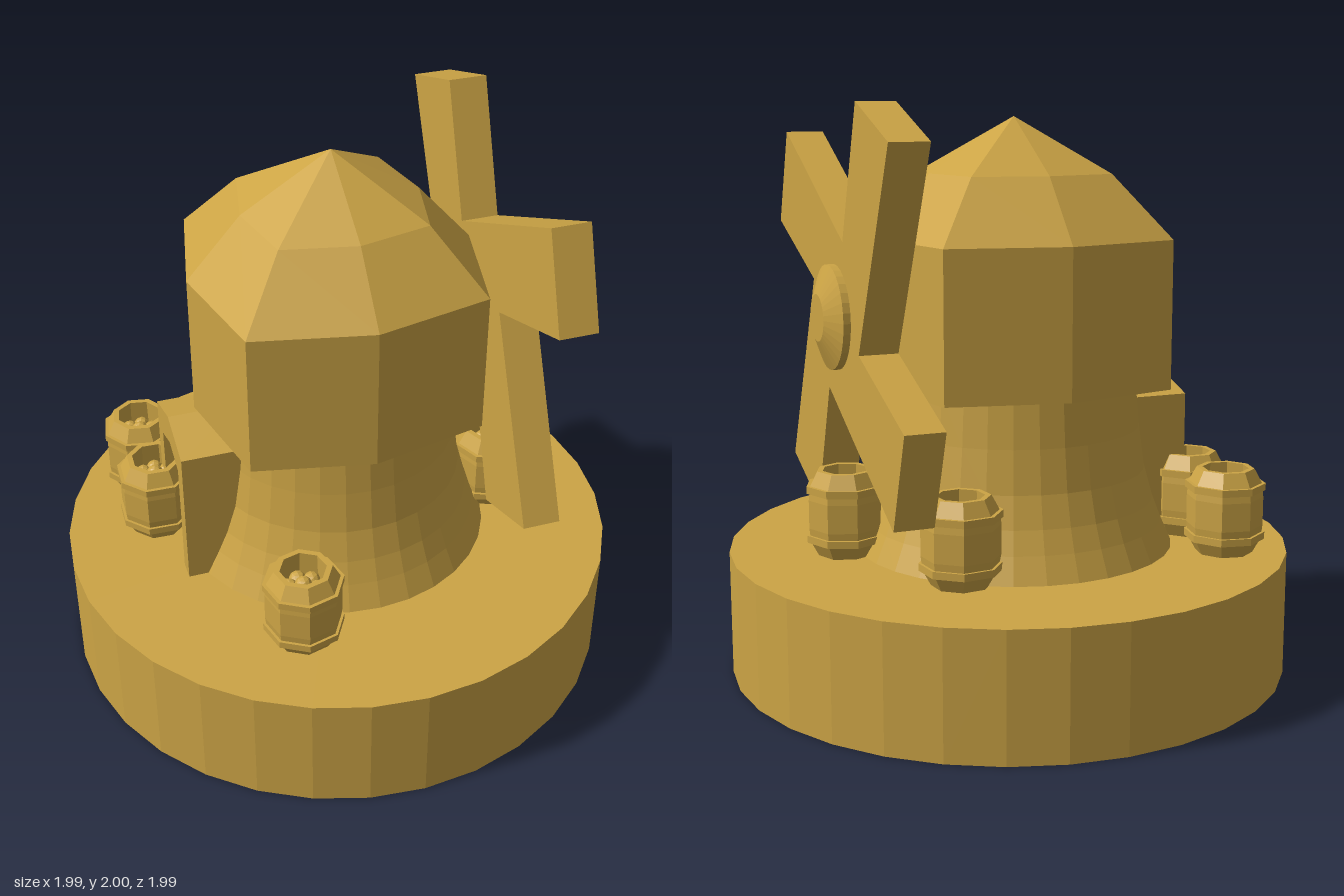
import * as THREE from 'three';

const ochre = new THREE.MeshStandardMaterial({ color: 0xcca445, flatShading: true });
ochre.name = 'ochre';

function add(parent, name, geometry, x = 0, y = 0, z = 0) {
  const mesh = new THREE.Mesh(geometry, ochre);
  mesh.name = name;
  mesh.position.set(x, y, z);
  parent.add(mesh);
  return mesh;
}

// Lathe from [radius, height] pairs listed bottom to top along the outside
function lathe(points, sides, start = 0) {
  return new THREE.LatheGeometry(points.map(([r, y]) => new THREE.Vector2(r, y)), sides, start);
}

// Flat outline in (-z, y), extruded along +x
function extrudeAlongX(shape, depth) {
  return new THREE.ExtrudeGeometry(shape, { depth, bevelEnabled: false }).rotateY(Math.PI / 2);
}

function outline(points) {
  return new THREE.Shape(points.map(([a, b]) => new THREE.Vector2(a, b)));
}

// Eight-sided cap: the corners reach further out than the side middles
function capGeometry() {
  const geometry = lathe([[0, 1.03], [0.5, 1.03], [0.5, 1.54], [0.31, 1.755], [0, 1.945]], 8);
  const p = geometry.attributes.position;
  for (let i = 0; i < p.count; i++) {
    const x = p.getX(i), z = p.getZ(i);
    if (Math.min(Math.abs(x), Math.abs(z)) > 0.01) p.setXYZ(i, x * 1.16, p.getY(i), z * 1.16);
  }
  geometry.computeVertexNormals();
  return geometry;
}

// Open barrel with hoops and a lumpy filling
function makeBarrel(x, z, turn) {
  const barrel = new THREE.Group();
  barrel.name = 'barrel';
  add(barrel, 'staves', lathe([
    [0, 0], [0.1, 0], [0.127, 0.05], [0.133, 0.1], [0.133, 0.2], [0.127, 0.25],
    [0.1, 0.3], [0.08, 0.3], [0.085, 0.2], [0, 0.2],
  ], 8));
  for (const y of [0.05, 0.225]) {
    add(barrel, 'hoop', lathe([[0.12, 0], [0.14, 0], [0.14, 0.025], [0.12, 0.025]], 8), 0, y, 0);
  }
  const lump = new THREE.IcosahedronGeometry(0.03, 1);
  add(barrel, 'filling', lump, 0, 0.23, 0);
  for (let i = 0; i < 6; i++) {
    const a = i * Math.PI / 3;
    add(barrel, 'filling', lump, Math.cos(a) * 0.048, 0.215, Math.sin(a) * 0.048);
  }
  barrel.position.set(x, 0.44, z);
  barrel.rotation.y = turn;
  return barrel;
}

export function createModel() {
  const model = new THREE.Group();
  model.name = 'windmill';

  add(model, 'base', new THREE.CylinderGeometry(0.995, 0.995, 0.44, 32), 0, 0.22, 0);
  add(model, 'tower', lathe([
    [0.565, 0.44], [0.525, 0.53], [0.495, 0.61], [0.465, 0.72], [0.445, 0.87], [0.43, 1.04],
  ], 32), -0.012, 0, -0.025);
  add(model, 'cap', capGeometry(), -0.012, 0, -0.022);

  // Four sails cut as one thick tilted cross
  add(model, 'sails', extrudeAlongX(outline([
    [0.287, 2.0], [0.617, 1.883], [0.28, 1.19], [0.734, 1.02], [0.617, 0.69], [-0.074, 1.027],
    [-0.245, 0.569], [-0.57, 0.69], [-0.245, 1.383], [-0.697, 1.553], [-0.574, 1.883], [0.117, 1.543],
  ]), 0.135), 0.5, 0, 0);

  // Hub turned to lie along x
  const hub = lathe([
    [0, -0.13], [0.13, -0.13], [0.178, -0.085], [0.178, 0.08], [0.08, 0.12], [0, 0.12],
  ], 32).rotateZ(-Math.PI / 2);
  add(model, 'hub', hub, 0.58, 1.283, -0.02);

  // Gabled doorway running back into the tower
  const frame = outline([[-0.185, 0.44], [-0.115, 0.44], [-0.115, 0.87], [0, 0.91],
    [0.115, 0.87], [0.115, 0.44], [0.185, 0.44], [0.185, 0.96], [0, 1.02], [-0.185, 0.96]]);
  add(model, 'doorway', extrudeAlongX(frame, 0.25), -0.61, 0, -0.008);

  const barrels = [[-0.64, -0.44], [-0.645, -0.16], [0.35, -0.45], [-0.305, 0.585], [0.595, 0.04]];
  barrels.forEach(([x, z], i) => model.add(makeBarrel(x, z, 0.2 + i * 0.15)));

  return model;
}
